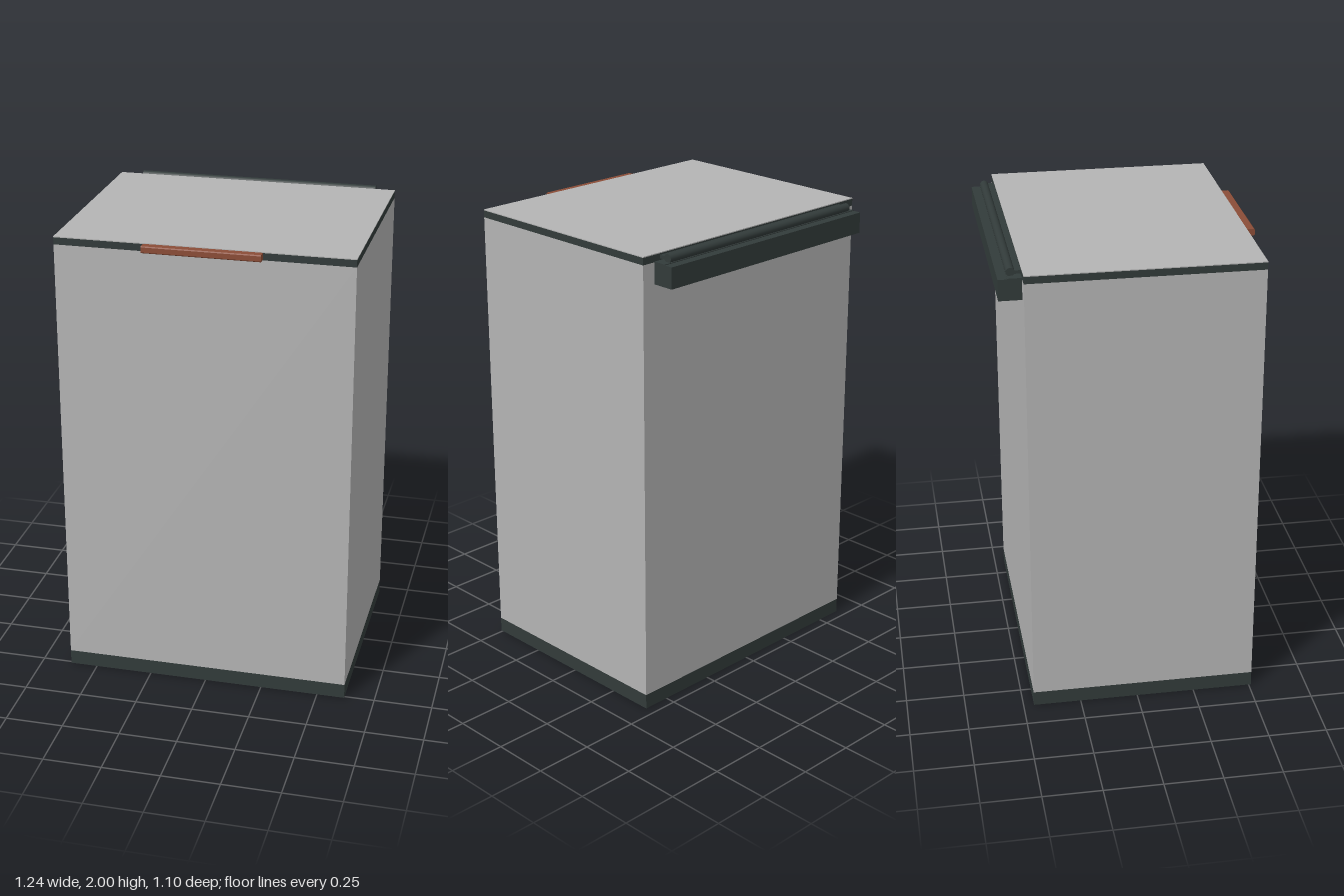
import * as THREE from 'three';

export function createModel() {
  const group = new THREE.Group();
  const material = (name, color) => {
    const m = new THREE.MeshStandardMaterial({ color });
    m.name = name;
    return m;
  };
  const grey = material('panelGrey', 0xb4b4b4);
  const dark = material('charcoalTrim', 0x323b3a);
  const brown = material('handleBrown', 0x8b4d37);

  const add = (name, geometry, mat) => {
    const mesh = new THREE.Mesh(geometry, mat);
    mesh.name = name;
    group.add(mesh);
    return mesh;
  };
  // Box given by its limits on each axis
  const box = (name, mat, [x0, x1], [y0, y1], [z0, z1]) => {
    const mesh = add(name, new THREE.BoxGeometry(x1 - x0, y1 - y0, z1 - z0), mat);
    mesh.position.set((x0 + x1) / 2, (y0 + y1) / 2, (z0 + z1) / 2);
    return mesh;
  };

  const width = [-0.62, 0.62];
  const depth = [-0.455, 0.51];

  // Cabinet: plinth and tall body
  box('plinth', dark, width, [0, 0.065], depth);
  box('body', grey, width, [0.065, 1.964], depth);

  // Lid: dark rim with a thin grey top panel
  box('lidRim', dark, width, [1.964, 1.994], depth);
  box('lidPanel', grey, width, [1.994, 1.998], depth);

  // Front pull with softly bevelled corners
  const pull = new THREE.Shape();
  const b = 0.004;
  pull.moveTo(0.51, 1.966);
  pull.lineTo(0.545 - b, 1.966);
  pull.lineTo(0.545, 1.966 + b);
  pull.lineTo(0.545, 1.995 - b);
  pull.lineTo(0.545 - b, 1.995);
  pull.lineTo(0.51, 1.995);
  const pullGeometry = new THREE.ExtrudeGeometry(pull, { depth: 0.49, bevelEnabled: false });
  pullGeometry.translate(0, 0, -0.245).rotateY(-Math.PI / 2);
  pullGeometry.rotateY(Math.PI);
  // Profile x now runs along one z direction; make sure it faces the front
  pullGeometry.computeBoundingBox();
  if (pullGeometry.boundingBox.max.z < 0) pullGeometry.rotateY(Math.PI);
  add('frontPull', pullGeometry, brown);

  // Rear rail carrying the lid hinge
  box('rearRail', dark, [-0.56, 0.56], [1.875, 1.964], [-0.55, -0.455]);
  box('hingeBasePlate', dark, [-0.56, 0.56], [1.964, 1.967], [-0.513, -0.455]);
  box('hingeLeaf', dark, [-0.53, 0.53], [1.974, 1.988], [-0.49, -0.455]);

  // Hinge barrel
  const barrel = add('hingeBarrel', new THREE.CylinderGeometry(0.018, 0.018, 1.06, 24), dark);
  barrel.rotation.z = Math.PI / 2;
  barrel.position.set(0, 1.982, -0.497);

  return group;
}
